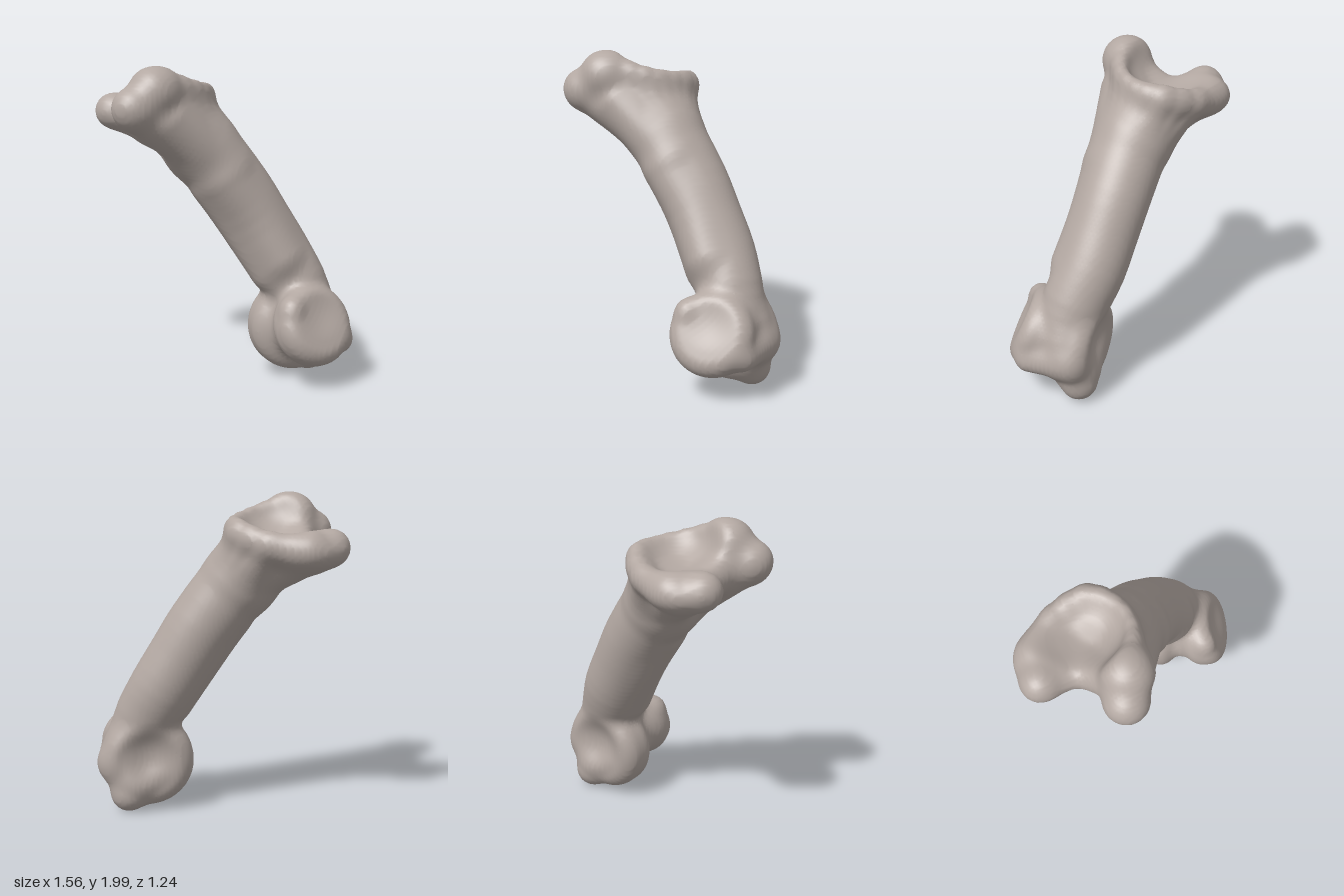
import * as THREE from 'three';

// ---- distance helpers: the bone is sculpted from softly blended solids ----
const V = (a) => new THREE.Vector3(...a);
const clamp01 = (t) => Math.min(1, Math.max(0, t));
function smin(a, b, k) {
  const h = Math.max(k - Math.abs(a - b), 0) / k;
  return Math.min(a, b) - h * h * k * 0.25;
}
const smax = (a, b, k) => -smin(-a, -b, k);

// Tapered limb between two balls, each given as [x, y, z, radius]
function limb(a, b) {
  const dx = b[0] - a[0], dy = b[1] - a[1], dz = b[2] - a[2], dr = b[3] - a[3];
  const len2 = dx * dx + dy * dy + dz * dz;
  return (x, y, z) => {
    const px = x - a[0], py = y - a[1], pz = z - a[2];
    const t = clamp01((px * dx + py * dy + pz * dz) / len2);
    const qx = px - dx * t, qy = py - dy * t, qz = pz - dz * t;
    return Math.sqrt(qx * qx + qy * qy + qz * qz) - a[3] - dr * t;
  };
}

// Smooth curve through the balls, resampled with interpolated radii
function resample(balls, count) {
  const curve = new THREE.CatmullRomCurve3(balls.map((b) => V(b.slice(0, 3))));
  return Array.from({ length: count + 1 }, (_, i) => {
    const u = (i / count) * (balls.length - 1);
    const j = Math.min(Math.floor(u), balls.length - 2);
    const r = THREE.MathUtils.lerp(balls[j][3], balls[j + 1][3], u - j);
    return [...curve.getPoint(i / count).toArray(), r];
  });
}

// Hard union, for pieces that already run into each other
const union = (parts) => (x, y, z) => {
  let d = 10;
  for (const f of parts) d = Math.min(d, f(x, y, z));
  return d;
};
function tube(balls, count) {
  const all = resample(balls, count);
  return union(all.slice(1).map((b, i) => limb(all[i], b)));
}

function ellipsoid(c, r) {
  const least = Math.min(...r);
  return (x, y, z) => {
    const px = (x - c[0]) / r[0], py = (y - c[1]) / r[1], pz = (z - c[2]) / r[2];
    return (Math.sqrt(px * px + py * py + pz * pz) - 1) * least;
  };
}
const ball = (c, r) => ellipsoid(c, [r, r, r]);

// Disc with a rounded edge; half is the flat half thickness
function disc(c, n, core, half, round) {
  return (x, y, z) => {
    const px = x - c.x, py = y - c.y, pz = z - c.z;
    const h = px * n.x + py * n.y + pz * n.z;
    const rad = Math.sqrt(Math.max(px * px + py * py + pz * pz - h * h, 0));
    const e = Math.max(rad - core, 0), f = Math.max(Math.abs(h) - half, 0);
    return Math.sqrt(e * e + f * f) - round;
  };
}

function boneField() {
  // Curved shaft, from the wide upper end to the knuckle
  const shaft = tube([
    [-0.25, 1.62, 0.0, 0.19], [-0.14, 1.5, -0.01, 0.232], [0.05, 1.2, -0.155, 0.218],
    [0.155, 1.0, -0.228, 0.213], [0.26, 0.8, -0.295, 0.21], [0.365, 0.62, -0.325, 0.205],
    [0.455, 0.42, -0.36, 0.185],
  ], 18);
  // Ridges that flatten the inner face of the shaft
  const ridges = [
    tube([[-0.03, 1.25, -0.03, 0.15], [0.1, 1.0, -0.14, 0.15], [0.27, 0.72, -0.22, 0.15]], 6),
    tube([[0.05, 1.3, 0.0, 0.15], [0.19, 1.05, -0.13, 0.145], [0.335, 0.8, -0.2, 0.14]], 6),
    limb([0.0, 1.35, -0.03, 0.18], [-0.15, 1.68, 0.28, 0.13]),
  ];

  // Rim of the upper joint, with the flare that carries it down to the shaft
  const rimBalls = [
    [-0.2, 1.86, 0.3, 0.105], [-0.14, 1.835, 0.12, 0.09], [-0.16, 1.795, -0.03, 0.09],
    [-0.25, 1.768, -0.13, 0.097], [-0.45, 1.715, -0.12, 0.085], [-0.63, 1.7, 0.0, 0.09],
  ];
  const rim = tube(rimBalls, 15);
  const flare = union(resample(rimBalls.slice(0, 5), 8).map((b) => limb([-0.135, 1.48, -0.01, 0.225], b)));

  // Two prongs of the upper joint and the web between them
  const prongs = [
    limb([-0.14, 1.46, 0, 0.15], [-0.58, 1.675, 0.08, 0.128]),
    ellipsoid([-0.55, 1.67, 0.07], [0.22, 0.128, 0.205]),
    ball([-0.668, 1.695, 0.18], 0.108),
    limb([-0.1, 1.42, 0, 0.15], [-0.265, 1.73, 0.45, 0.125]),
    ball([-0.28, 1.755, 0.49], 0.127),
    ball([-0.22, 1.84, 0.36], 0.157),
    limb([-0.42, 1.62, 0.12, 0.13], [-0.255, 1.74, 0.34, 0.135]),
  ];

  // Two knuckle discs of the lower joint, the hub between and small swellings
  const cA = V([0.35, 0.33, -0.352]), nA = V([0.745, 0.08, 0.66]).normalize();
  const cB = V([0.576, 0.393, -0.188]), nB = V([0.83, 0.4, 0.39]).normalize();
  const lower = [
    disc(cA, nA, 0.19, 0.03, 0.1),
    limb([0.36, 0.3, -0.38, 0.17], [0.405, 0.12, -0.465, 0.115]),
    disc(cB, nB, 0.165, 0.02, 0.09),
    ball([0.51, 0.52, -0.05], 0.07),
    disc(cA.clone().lerp(cB, 0.5), cB.clone().sub(cA).normalize(), 0.155, 0.1, 0.06),
    limb([0.49, 0.31, -0.495, 0.115], [0.685, 0.28, -0.35, 0.083]),
  ];

  // Hollows: joint socket and a dimple on the outside of each knuckle
  const socket = ellipsoid([-0.38, 1.94, 0.06], [0.27, 0.2, 0.23]);
  const dimple = (c, n, s) => {
    const p = c.clone().addScaledVector(n, s * 0.29);
    return ball([p.x, p.y + 0.06, p.z], 0.2);
  };
  const hollows = [socket, dimple(cA, nA, -1), dimple(cB, nB, 1)];

  const solids = [...ridges, flare, rim, ...prongs, ...lower];
  return (x, y, z) => {
    let d = shaft(x, y, z);
    for (const f of solids) d = smin(d, f(x, y, z), 0.05);
    for (const f of hollows) d = smax(d, -f(x, y, z), 0.07);
    return d;
  };
}

// Skin a field with one vertex per surface cell and one quad per crossed edge
function skin(field, min, max, step) {
  const n = min.map((m, i) => Math.ceil((max[i] - m) / step) + 1);
  const stride = [1, n[0], n[0] * n[1]];
  const val = new Float32Array(n[0] * n[1] * n[2]);
  const eachPoint = (fn) => {
    for (let k = 0; k < n[2]; k++)
      for (let j = 0; j < n[1]; j++)
        for (let i = 0; i < n[0]; i++) fn([i, j, k], i + j * stride[1] + k * stride[2]);
  };
  eachPoint((g, id) => {
    val[id] = field(min[0] + g[0] * step, min[1] + g[1] * step, min[2] + g[2] * step);
  });

  const cell = new Int32Array(val.length).fill(-1);
  const pos = [], index = [];
  eachPoint((g, id) => {
    if (g.some((v, a) => v >= n[a] - 1)) return;
    const sum = [0, 0, 0];
    let hits = 0;
    for (let corner = 0; corner < 8; corner++) {
      const o = [corner & 1, (corner >> 1) & 1, corner >> 2];
      const p = id + o[0] + o[1] * stride[1] + o[2] * stride[2];
      for (let a = 0; a < 3; a++) {
        if (o[a]) continue;
        const q = p + stride[a];
        if (val[p] < 0 === val[q] < 0) continue;
        const t = val[p] / (val[p] - val[q]);
        for (let b = 0; b < 3; b++) sum[b] += o[b] + (a === b ? t : 0);
        hits++;
      }
    }
    if (!hits) return;
    cell[id] = pos.length / 3;
    for (let a = 0; a < 3; a++) pos.push(min[a] + (g[a] + sum[a] / hits) * step);
  });
  eachPoint((g, id) => {
    for (let a = 0; a < 3; a++) {
      const b = (a + 1) % 3, c = (a + 2) % 3;
      if (g[a] >= n[a] - 1 || !g[b] || !g[c]) continue;
      const inside = val[id] < 0;
      if (inside === val[id + stride[a]] < 0) continue;
      const q = [id - stride[b] - stride[c], id - stride[c], id, id - stride[b]].map((v) => cell[v]);
      if (!inside) q.reverse();
      index.push(q[0], q[1], q[2], q[0], q[2], q[3]);
    }
  });

  const geo = new THREE.BufferGeometry();
  geo.setAttribute('position', new THREE.Float32BufferAttribute(pos, 3));
  geo.setIndex(index);
  geo.computeVertexNormals();
  return geo;
}

export function createModel() {
  const boneGrey = new THREE.MeshStandardMaterial({ color: 0xb3a8a2 });
  boneGrey.name = 'boneGrey';
  const bone = new THREE.Mesh(skin(boneField(), [-0.9, -0.08, -0.75], [0.9, 2.1, 0.75], 0.02), boneGrey);
  bone.name = 'toeBone';
  const model = new THREE.Group();
  model.name = 'bone';
  model.add(bone);
  return model;
}
